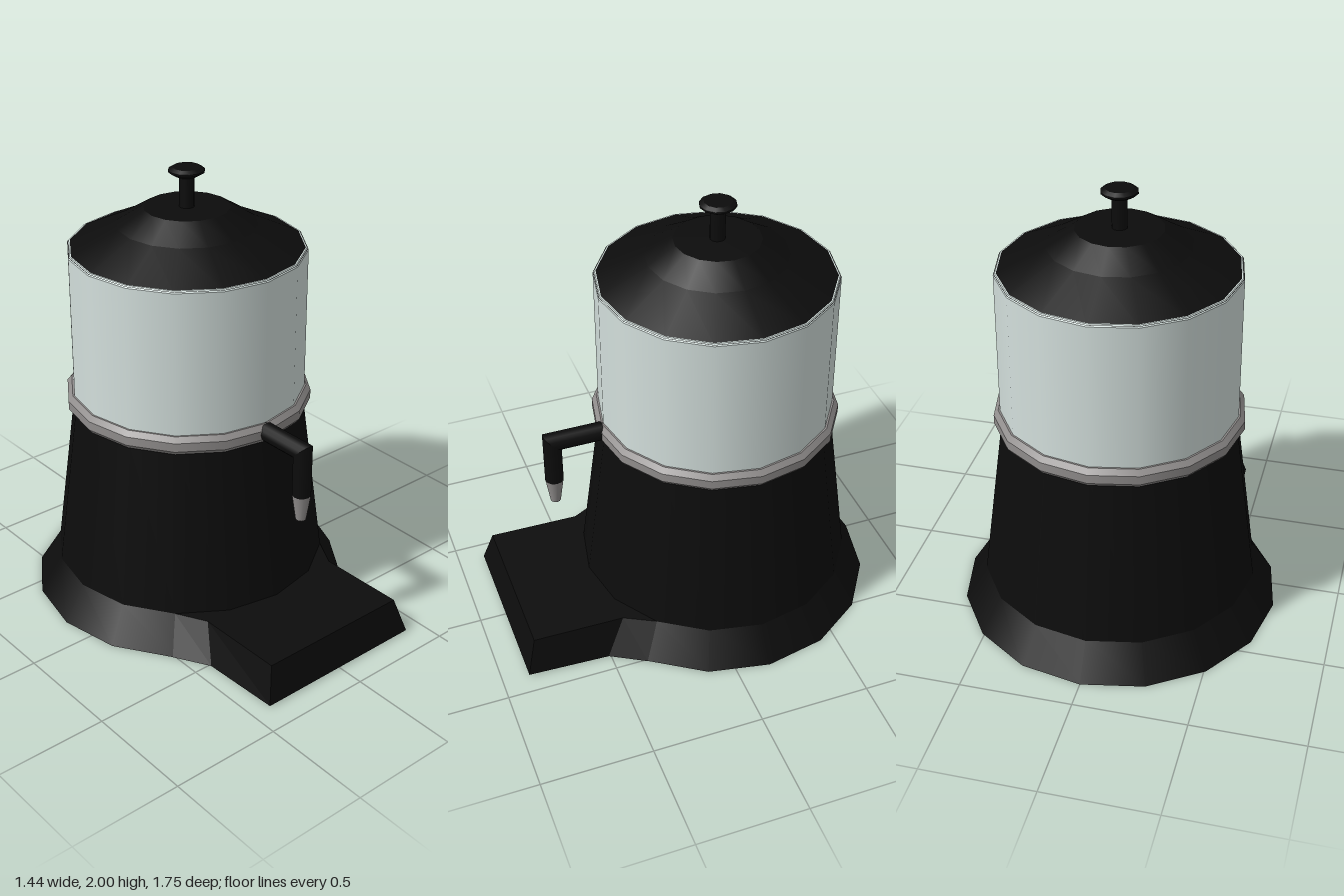
import * as THREE from 'three';

const SIDES = 16;
const AXIS_Z = -0.155;
const SPOUT_Z = 0.602;

function material(name, color) {
  const m = new THREE.MeshStandardMaterial({ color });
  m.name = name;
  return m;
}

// Turned part from [radius, height] points, bottom to top, with sharp rings between bands
function turned(points, sides = SIDES) {
  const profile = [];
  points.forEach(([r, y], i) => {
    profile.push(new THREE.Vector2(r, y));
    if (i > 0 && i < points.length - 1) profile.push(new THREE.Vector2(r, y));
  });
  const smooth = new THREE.LatheGeometry(profile, sides);
  const normal = smooth.attributes.normal;
  const rows = profile.length;
  // Give both ends of every band that band's own slope
  for (let s = 0; s <= sides; s++) {
    const a = (s / sides) * Math.PI * 2;
    for (let j = 0; j < rows; j += 2) {
      const d = profile[j + 1].clone().sub(profile[j]).normalize();
      for (const k of [j, j + 1]) {
        normal.setXYZ(s * rows + k, d.y * Math.sin(a), -d.x, d.y * Math.cos(a));
      }
    }
  }
  return smooth;
}

// Tray lofted through four-cornered sections running from back to front
function trayGeometry() {
  // [bottom half width, bottom z, bottom y, top half width, top z, top y]
  const rows = [
    [0.51, 0.355, 0, 0.438, 0.283, 0.16],
    [0.42, 0.51, 0, 0.365, 0.42, 0.161],
    [0.41, 0.88, 0.008, 0.365, 0.835, 0.168],
  ];
  const pos = [];
  const index = [];
  for (const [bx, bz, by, tx, tz, ty] of rows) {
    pos.push(-bx, by, bz, bx, by, bz, tx, ty, tz, -tx, ty, tz);
  }
  for (let r = 0; r < rows.length - 1; r++) {
    for (let k = 0; k < 4; k++) {
      const a = r * 4 + k;
      const b = r * 4 + ((k + 1) % 4);
      index.push(a, b, b + 4, a, b + 4, a + 4);
    }
  }
  const f = (rows.length - 1) * 4;
  index.push(f, f + 1, f + 2, f, f + 2, f + 3);
  const indexed = new THREE.BufferGeometry();
  indexed.setAttribute('position', new THREE.Float32BufferAttribute(pos, 3));
  indexed.setIndex(index);
  const g = indexed.toNonIndexed();
  g.computeVertexNormals();
  return g;
}

// Moves vertices by a rule
function reshape(geometry, rule) {
  const p = geometry.attributes.position;
  const v = new THREE.Vector3();
  for (let i = 0; i < p.count; i++) {
    v.fromBufferAttribute(p, i);
    rule(v);
    p.setXYZ(i, v.x, v.y, v.z);
  }
  return geometry;
}

export function createModel() {
  const model = new THREE.Group();
  model.name = 'drinkDispenser';
  const black = material('black plastic', 0x0c0c0c);
  const glass = material('pale glass', 0xd3dfdc);
  const metal = material('grey metal', 0x908d8c);

  function add(name, geometry, mat, z = 0) {
    const mesh = new THREE.Mesh(geometry, mat);
    mesh.name = name;
    mesh.position.z = z;
    model.add(mesh);
  }

  // Flared stand and drip tray
  add('base', turned([[0, 0], [0.72, 0], [0.62, 0.16], [0.52, 0.92], [0, 0.92]]), black, AXIS_Z);
  add('dripTray', trayGeometry(), black);

  // Metal collar, tank and lid
  add('collar', turned([[0.5, 0.915], [0.535, 0.915], [0.55, 0.935], [0.55, 0.975],
    [0.53, 0.998], [0.5, 0.998]]), metal, AXIS_Z);
  add('tank', turned([[0.522, 0.95], [0.522, 1.645], [0.515, 1.655], [0, 1.655]]), glass, AXIS_Z);
  add('lid', turned([[0, 1.65], [0.52, 1.65], [0.305, 1.752], [0.187, 1.825], [0, 1.825]]), black, AXIS_Z);

  // Lid knob
  add('knobStem', turned([[0.033, 1.81], [0.033, 1.97]], 12), black, AXIS_Z);
  add('knobHead', turned([[0, 1.962], [0.05, 1.962], [0.079, 1.98], [0.079, 1.988],
    [0.06, 2], [0, 2]], 12), black, AXIS_Z);

  // Spout: two pipes meeting in a mitre
  const r = 0.042;
  const pipeY = 0.957;
  const arm = new THREE.CylinderGeometry(r, r, 0.3, 12).rotateX(Math.PI / 2);
  add('spoutArm', reshape(arm, (v) => {
    v.z = v.z > 0 ? SPOUT_Z + v.y : 0.3;
    v.y += pipeY;
  }), black);
  const drop = new THREE.CylinderGeometry(r, r, 0.2, 12);
  add('spoutDrop', reshape(drop, (v) => {
    v.y = v.y > 0 ? pipeY + v.z : 0.75;
    v.z += SPOUT_Z;
  }), black);
  add('nozzle', new THREE.CylinderGeometry(0.041, 0.023, 0.12, 12).translate(0, 0.69, 0), metal, SPOUT_Z);

  return model;
}
